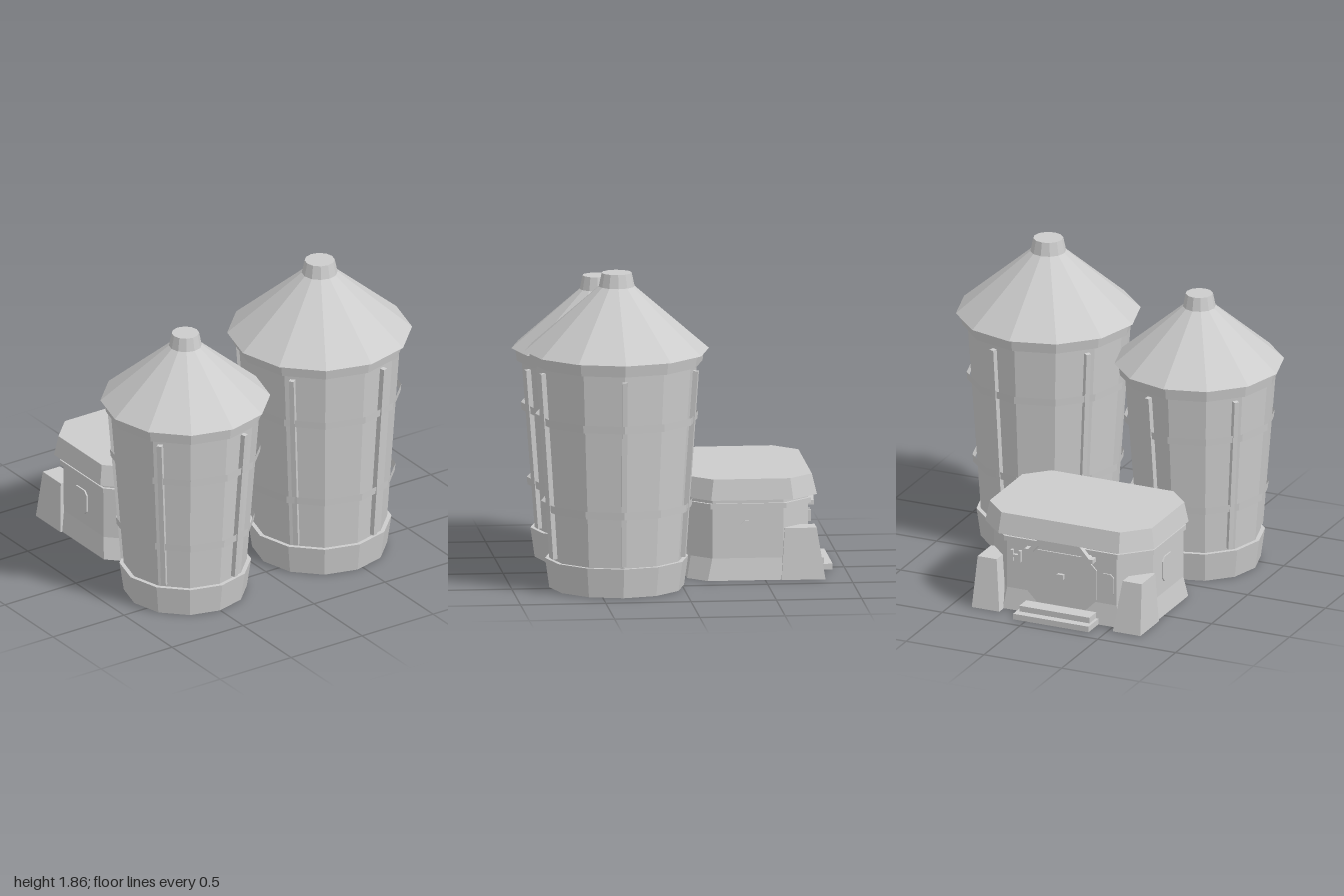
import * as THREE from 'three';

const grey = new THREE.MeshStandardMaterial({ color: 0xcccccc, flatShading: true, side: THREE.DoubleSide });
grey.name = 'concreteGrey';

function add(parent, name, geometry, x = 0, y = 0, z = 0) {
  const mesh = new THREE.Mesh(geometry, grey);
  mesh.name = name;
  mesh.position.set(x, y, z);
  parent.add(mesh);
  return mesh;
}

// Stacked rings (each counterclockwise seen from above), with optional end faces
function loft(rings, closeBottom = true, closeTop = true) {
  const pos = [];
  const tri = (a, b, c) => pos.push(...a, ...b, ...c);
  const n = rings[0].length, top = rings[rings.length - 1], low = rings[0];
  for (let k = 0; k < rings.length - 1; k++) {
    for (let i = 0; i < n; i++) {
      const j = (i + 1) % n;
      tri(rings[k][i], rings[k][j], rings[k + 1][j]);
      tri(rings[k][i], rings[k + 1][j], rings[k + 1][i]);
    }
  }
  for (let i = 1; i < n - 1; i++) {
    if (closeBottom) tri(low[0], low[i + 1], low[i]);
    if (closeTop) tri(top[0], top[i], top[i + 1]);
  }
  const g = new THREE.BufferGeometry();
  g.setAttribute('position', new THREE.Float32BufferAttribute(pos, 3));
  g.computeVertexNormals();
  return g;
}

// Rectangle with cut corners: half width, front z, back z, front and back cuts
function octRing(y, w, f, b, cf, cb) {
  return [[w, y, f - cf], [w, y, b + cb], [w - cb, y, b], [-w + cb, y, b],
    [-w, y, b + cb], [-w, y, f - cf], [-w + cf, y, f], [w - cf, y, f]];
}

const rectRing = (y, x0, x1, f, b) => [[x1, y, f], [x1, y, b], [x0, y, b], [x0, y, f]];

function plate(points, depth) {
  const shape = new THREE.Shape(points.map(p => new THREE.Vector2(...p)));
  return new THREE.ExtrudeGeometry(shape, { depth, bevelEnabled: false });
}

// Flat panel outline with cut corners
const panelPoints = (w, h, c) => [[w, -h + c], [w, h - c], [w - c, h], [-w + c, h],
  [-w, h - c], [-w, -h + c], [-w + c, -h], [w - c, -h]];

function makeSilo(name, s) {
  const silo = new THREE.Group();
  silo.name = name;
  const ring = (part, y0, y1, r0, r1, open = false) =>
    add(silo, part, new THREE.CylinderGeometry(r1, r0, y1 - y0, 12, 1, open), 0, (y0 + y1) / 2, 0);
  // Hollow skirt with a ledge up to the body
  const skirt = [[s.base[0], 0], [s.base[1], 0.175], [s.body[0], 0.175]];
  add(silo, 'base', new THREE.LatheGeometry(skirt.map(p => new THREE.Vector2(...p)), 12));
  ring('body', 0.175, s.rimY, s.body[0], s.body[1]);
  ring('rim', s.rimY, s.roofY, s.rim[0], s.rim[1]);
  ring('roof', s.roofY, s.capY, s.roof, s.cap[0]);
  ring('cap', s.capY, s.topY, s.cap[0], s.cap[1]);
  for (const [y, r] of s.bands) ring('band', y, y + 0.045, r - 0.002, r + 0.002, true);

  // Five leaning ribs, evenly spaced
  const y0 = 0.19, y1 = s.ribTop, [r0, r1] = s.body;
  for (let i = 0; i < 5; i++) {
    const spoke = new THREE.Group();
    spoke.name = 'ribSpoke';
    spoke.rotation.y = i * Math.PI * 2 / 5;
    const rib = add(spoke, 'rib', new THREE.BoxGeometry(0.03, Math.hypot(y1 - y0, r1 - r0), 0.03),
      (r0 + r1) / 2 + 0.001, (y0 + y1) / 2, 0);
    rib.rotation.z = -Math.atan2(r1 - r0, y1 - y0);
    silo.add(spoke);
  }
  return silo;
}

function makeHut() {
  const hut = new THREE.Group();
  hut.name = 'entranceBuilding';
  // Hollow flared footing, walls with a raised floor, trim and roof block
  add(hut, 'footing', loft([
    octRing(0, 0.53, -0.053, -0.79, 0.11, 0.16),
    octRing(0.13, 0.512, -0.076, -0.77, 0.115, 0.16)], false, false));
  add(hut, 'walls', loft([
    octRing(0.13, 0.512, -0.076, -0.77, 0.115, 0.16),
    octRing(0.49, 0.512, -0.076, -0.77, 0.115, 0.16)]));
  add(hut, 'wallTrim', loft([
    octRing(0.425, 0.525, -0.06, -0.785, 0.12, 0.16),
    octRing(0.455, 0.525, -0.06, -0.785, 0.12, 0.16)]));
  add(hut, 'roofBlock', loft([
    octRing(0.478, 0.542, -0.047, -0.818, 0.135, 0.155),
    octRing(0.6, 0.521, -0.068, -0.788, 0.13, 0.14)]));

  for (const side of [-1, 1]) {
    // Hollow corner buttresses
    const span = (a, b) => side > 0 ? [a, b] : [-b, -a];
    add(hut, 'buttress', loft([
      rectRing(0, ...span(0.365, 0.542), -0.595, -0.852),
      rectRing(0.305, ...span(0.405, 0.527), -0.615, -0.802)], false));
    // Side windows
    const win = add(hut, 'sideWindow', plate(panelPoints(0.067, 0.077, 0.025), 0.009),
      side * 0.512, 0.278, -0.423);
    win.rotation.y = side * Math.PI / 2;
  }

  // Rear entrance
  const entry = new THREE.Group();
  entry.name = 'entrance';
  entry.position.z = -0.77;
  entry.rotation.y = Math.PI;
  add(entry, 'door', plate(panelPoints(0.225, 0.165, 0.07), 0.009), 0, 0.235, 0);
  add(entry, 'doorHandle', new THREE.BoxGeometry(0.04, 0.03, 0.03), 0, 0.26, 0.015);
  add(entry, 'doorHood', plate([[-0.22, 0.385], [-0.18, 0.385], [-0.12, 0.45], [0.12, 0.45],
    [0.18, 0.385], [0.22, 0.385], [0.22, 0.41], [0.195, 0.41], [0.135, 0.478],
    [-0.135, 0.478], [-0.195, 0.41], [-0.22, 0.41]], 0.048));
  // Wall bracket beside the door
  for (const dx of [-0.025, 0.025])
    add(entry, 'bracketPost', new THREE.BoxGeometry(0.016, 0.07, 0.02), -0.29 + dx, 0.34, 0.01);
  add(entry, 'bracketBar', new THREE.BoxGeometry(0.035, 0.016, 0.02), -0.29, 0.34, 0.01);
  add(entry, 'servicePanel', plate(panelPoints(0.045, 0.07, 0.02), 0.008), 0.29, 0.25, 0);
  add(entry, 'lowerStep', new THREE.BoxGeometry(0.485, 0.035, 0.155), 0, 0.0175, 0.0775);
  add(entry, 'upperStep', new THREE.BoxGeometry(0.45, 0.035, 0.105), 0, 0.0525, 0.0525);
  hut.add(entry);
  return hut;
}

export function createModel() {
  const model = new THREE.Group();
  model.name = 'siloStation';

  const tall = makeSilo('tallSilo', {
    base: [0.395, 0.42], body: [0.395, 0.472], rim: [0.503, 0.515],
    rimY: 1.33, roofY: 1.403, roof: 0.541, capY: 1.78, topY: 1.86, cap: [0.105, 0.088],
    bands: [[0.47, 0.442], [0.987, 0.476]], ribTop: 1.295 });
  tall.position.set(0.459, 0, 0.381);

  const short = makeSilo('shortSilo', {
    base: [0.36, 0.385], body: [0.36, 0.436], rim: [0.464, 0.475],
    rimY: 1.165, roofY: 1.24, roof: 0.497, capY: 1.585, topY: 1.665, cap: [0.096, 0.08],
    bands: [[0.43, 0.404], [0.875, 0.439]], ribTop: 1.135 });
  short.position.set(-0.502, 0, 0.403);

  const hut = makeHut();
  hut.position.x = -0.163;

  model.add(tall, short, hut);
  return model;
}
